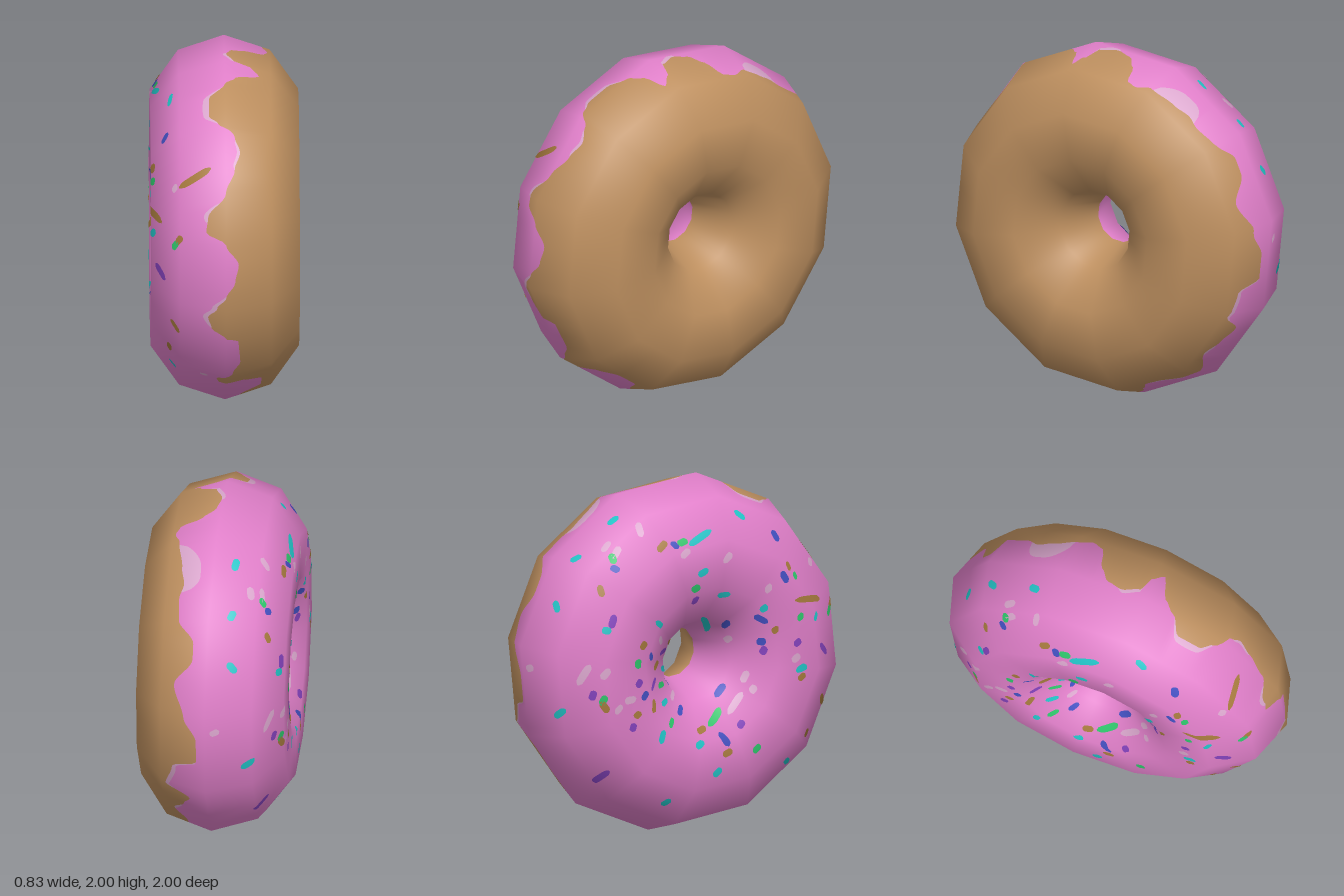
import * as THREE from 'three';

const RING = 0.5785, TUBE = 0.4335;      // ring and tube radius
const SIDES = 12, TWIST = 21;            // facets round the ring, first corner in degrees

const mat = (name, color, side = THREE.DoubleSide) => {
  const m = new THREE.MeshStandardMaterial({ color, side });
  m.name = name;
  return m;
};

// Corner of the faceted ring (u round the ring, v round the tube, v = 0 outermost)
function corner(u, v) {
  const p = THREE.MathUtils.degToRad(TWIST + u * 360 / SIDES), q = v * Math.PI / 5;
  const n = new THREE.Vector3(Math.sin(q), Math.cos(q) * Math.sin(p), Math.cos(q) * Math.cos(p));
  const pos = n.clone().multiplyScalar(TUBE);
  pos.y += 1 + RING * Math.sin(p);
  pos.z += RING * Math.cos(p);
  return { pos, n };
}

// Point and smooth normal anywhere on the flat facets
function surface(u, v, lift = 0) {
  const i = Math.floor(u), j = Math.floor(v), s = u - i, t = v - j;
  const c = [corner(i, j), corner(i + 1, j), corner(i, j + 1), corner(i + 1, j + 1)];
  const mix = k => c[0][k].clone().lerp(c[1][k], s).lerp(c[2][k].clone().lerp(c[3][k], s), t);
  const n = mix('n').normalize();
  return { pos: mix('pos').addScaledVector(n, lift), n, uv: [u, v] };
}

// Collects grids of surface points into one geometry
class Sheet {
  constructor() { this.pos = []; this.nor = []; this.uv = []; this.idx = []; }
  grid(rows) {
    const base = this.pos.length / 3, w = rows[0].length;
    rows.forEach(row => row.forEach(p => {
      this.pos.push(...p.pos.toArray());
      this.nor.push(...p.n.toArray());
      this.uv.push(...p.uv);
    }));
    for (let i = 0; i < rows.length - 1; i++) for (let j = 0; j < w - 1; j++) {
      const a = base + i * w + j, b = a + 1, c = a + w, d = c + 1;
      this.idx.push(a, b, d, a, d, c);
    }
  }
  mesh(name, material) {
    const g = new THREE.BufferGeometry();
    g.setAttribute('position', new THREE.Float32BufferAttribute(this.pos, 3));
    g.setAttribute('normal', new THREE.Float32BufferAttribute(this.nor, 3));
    g.setAttribute('uv', new THREE.Float32BufferAttribute(this.uv, 2));
    g.setIndex(this.idx);
    const m = new THREE.Mesh(g, material);
    m.name = name;
    return m;
  }
}

// Wavy lower edge of the icing: [degrees, x]
const EDGE = [
  [-69, 0.08], [-63, 0.2], [-55, 0.2], [-50, 0.1], [-48, -0.04], [-44, -0.05], [-38, 0.04], [-34, 0.08],
  [-24, 0.07], [-21.6, 0], [-18, -0.08], [-13, -0.1], [-8.5, -0.05], [-4.6, 0], [0, 0.05], [6, 0.07],
  [13, 0], [17, -0.11], [22, -0.1], [30, 0], [38, 0.05], [44, 0.08], [49, 0.05], [54, -0.04],
  [58, -0.09], [66, -0.09], [71, 0], [75, 0.06], [78, 0.19], [82, 0.14], [84, 0.05], [90, 0.01],
  [95, 0.03], [99, 0.1], [102, 0.22], [106, 0.24], [111, 0.21], [121, 0.18], [127, 0.16], [132, 0.18],
  [140, 0.17], [148, 0.08], [153, 0.08], [162, 0.18], [173, 0.12], [182, 0.05], [190, 0.05], [194, 0.19],
  [203, 0.23], [210, 0.1], [216, 0.14], [222, 0.2], [230, 0.13], [240, 0.1], [246, 0.2], [250, 0.21],
  [256, 0.12], [259, 0.05], [264, 0.05], [270, -0.03], [285, 0], [291, 0.08],
];
// Pale patches along the edge: [from, to, width]
const RIM = [[-18, -4, 0.12], [20, 27, 0.1], [38, 48, 0.07], [54, 70, 0.14], [83, 91, 0.1],
  [112, 130, 0.42], [190, 206, 0.1], [218, 223, 0.08], [239, 249, 0.1]];

const rowOf = x => {
  const q = TUBE * Math.sin(Math.PI / 5);
  return Math.abs(x) < q ? x / q : Math.sign(x) * (1 + (Math.abs(x) - q) / 0.157);
};
function edgeAt(deg) {
  const k = Math.max(1, EDGE.findIndex(e => e[0] >= deg));
  const [a, xa] = EDGE[k - 1], [b, xb] = EDGE[k];
  return rowOf(THREE.MathUtils.lerp(xa, xb, THREE.MathUtils.smoothstep(deg, a, b)));
}
function rimAt(deg) {
  const r = RIM.find(([a, b]) => deg > a && deg < b);
  return r ? r[2] * Math.sqrt(Math.sin(Math.PI * (deg - r[0]) / (r[1] - r[0]))) : 0;
}

// One full turn of skin between two edges, keeping the facet corners
function skin(lower, upper) {
  const sheet = new Sheet(), rows = [];
  for (let d = -69; d <= 291; d++) {
    const lo = lower(d), hi = upper(d), vs = [lo];
    for (let k = -4; k <= 4; k++) vs.push(THREE.MathUtils.clamp(k, lo, hi));
    vs.push(hi);
    rows.push(vs.map(v => surface((d - TWIST) * SIDES / 360, v)));
  }
  sheet.grid(rows);
  return sheet;
}

// Thin sprinkle lying on the icing, from its (u, v) middle towards a point halfway to its tip
function sprinkle(sheet, mid, toTip, width) {
  const mu = (RING + TUBE * Math.cos(mid.y * Math.PI / 5)) * Math.PI / 6, mv = TUBE * Math.PI / 5;
  let du = toTip.x - mid.x;
  du -= SIDES * Math.round(du / SIDES);
  const dir = new THREE.Vector2(du * mu, (toTip.y - mid.y) * mv);
  const half = THREE.MathUtils.clamp(dir.length() * 2, 0.02, 0.11);
  dir.normalize();
  const rows = [];
  for (let i = 0; i <= 8; i++) {
    const s = i / 4 - 1, h = width / 2 * Math.sqrt(1.05 - s ** 4);
    rows.push([-h, 0, h].map(w => surface(
      mid.x + (s * half * dir.x - w * dir.y) / mu, mid.y + (s * half * dir.y + w * dir.x) / mv, 0.004)));
  }
  sheet.grid(rows);
}

// Sprinkles strewn on a plane and dropped onto the icing: [across, up, length, degrees]
const FRONT = {
  gold: [[-17, 54, 21, 33], [-26, 22, 6, 60], [-28, -32, 8, -55], [-31, -49, 4, 80], [-40, 50, 5, 80]],
  pale: [[-28, 47, 5, 60], [-12, -65, 4, 0]],
  green: [[-28, 18, 6, 60], [-40, 44, 4, 80]],
  purple: [[-36, -1, 9, -55]],
  teal: [[-29, -64, 5, -40], [-40, 19, 5, 60]],
};
const SIDE = {
  teal: [[-31, 102, 13, 50], [50, 100, 25, 60], [-56, 56, 12, 40], [55, 67, 11, 50], [-68, 5, 13, -60],
    [71, 135, 10, -30], [67, 53, 12, 20], [-14, -13, 9, 0], [-58, -98, 15, 25], [27, -99, 14, 80],
    [65, -117, 11, 60], [23, -156, 11, 35], [53, -96, 8, 60], [41, 27, 13, 40], [123, 4, 10, 50], [97, 50, 8, 50]],
  pale: [[0, 95, 16, -65], [-28, 72, 13, 75], [-16, 67, 14, 75], [43, 80, 12, 60], [-93, -57, 9, 15],
    [-33, -59, 24, 58], [-12, -55, 13, 60], [71, -44, 26, 72], [-3, -85, 10, 60], [5, -73, 9, 30],
    [76, -16, 13, 70], [119, 12, 10, 60], [72, 88, 11, 60], [59, 17, 10, 40], [85, -27, 9, 60], [100, 70, 9, 60]],
  green: [[-18, 60, 11, -60], [57, -63, 22, 82], [-15, -80, 11, 60], [10, -37, 10, 80], [122, 52, 8, 60],
    [38, 91, 9, 50], [92, -84, 10, 60], [50, 50, 9, 50]],
  blue: [[-14, 50, 9, -20], [93, 40, 12, -20], [55, -34, 16, 70], [70, -84, 12, -60], [98, 124, 12, -55],
    [91, 20, 9, 0], [15, -65, 10, 70], [60, 30, 10, 40], [33, 86, 9, -40], [111, 85, 9, -60]],
  purple: [[-9, -3, 14, 80], [-25, -77, 10, 70], [-26, -148, 22, 35], [7, -98, 9, 80], [11, -55, 9, 70],
    [93, 12, 9, 60], [120, 27, 9, 60], [47, 40, 9, 50], [80, -65, 9, 70]],
  gold: [[-23, 25, 12, -70], [23, 82, 13, 65], [-14, -86, 11, -50], [14, -18, 9, 70], [72, -96, 10, 50],
    [123, -4, 9, 60], [102, -103, 9, 50], [128, 72, 12, 65], [10, -85, 8, 60], [88, -120, 9, 50],
    [105, 33, 8, 60], [50, -80, 9, 60]],
};

// Drops one list of sprinkles along the direction given by azimuth and elevation
function strew(list, icing, sheets, azimuth, elevation, step) {
  const turn = new THREE.Euler(-elevation, azimuth, 0, 'YXZ');
  const toward = new THREE.Vector3(0, 0, -1).applyEuler(turn);
  const ray = new THREE.Raycaster();
  const drop = (x, y) => {
    const from = new THREE.Vector3(x * step, y * step, 4).applyEuler(turn);
    from.y += 1;
    ray.set(from, toward);
    return ray.intersectObject(icing)[0]?.uv;
  };
  for (const [name, items] of Object.entries(list)) for (const [x, y, len, deg] of items) {
    const r = THREE.MathUtils.degToRad(deg);
    const mid = drop(x, y), toTip = drop(x + Math.cos(r) * len / 4, y + Math.sin(r) * len / 4);
    if (mid && toTip) sprinkle(sheets[name], mid, toTip, 0.041);
  }
}

export function createModel() {
  const group = new THREE.Group();
  group.name = 'doughnut';
  const pale = mat('pale pink', 0xd9a6cc);

  // Dough, icing and pale rim
  const rimStart = d => edgeAt(d) - rimAt(d);
  const icing = skin(() => -5, rimStart).mesh('icing', mat('icing pink', 0xe07fc9, THREE.FrontSide));
  group.add(icing);
  group.add(skin(edgeAt, () => 5).mesh('dough', mat('dough brown', 0xbd8f5f, THREE.FrontSide)));
  group.add(skin(rimStart, edgeAt).mesh('icingRim', pale));

  // Sprinkles, gathered by colour
  const kinds = {
    teal: mat('teal', 0x22c3c6), gold: mat('toffee', 0xa67a3e), blue: mat('blue', 0x4350c0),
    green: mat('green', 0x2fc56c), purple: mat('purple', 0x8443bd), pale,
  };
  const names = Object.keys(kinds);
  const sheets = Object.fromEntries(names.map(n => [n, new Sheet()]));
  strew(FRONT, icing, sheets, 0, 0, 0.01);
  strew(SIDE, icing, sheets, THREE.MathUtils.degToRad(215), THREE.MathUtils.degToRad(25), 1 / 182);

  // A few more on the inner wall of the hole
  for (let i = 0; i < 16; i++) {
    const a = new THREE.Vector2(4 + (i * 0.618 % 1) * 3.5, -3 - i * 0.08);
    const b = a.clone().add(new THREE.Vector2(0.06 * Math.sin(i * 2), 0.07));
    sprinkle(sheets[names[i % names.length]], a, b, 0.032);
  }
  names.forEach(n => group.add(sheets[n].mesh(n + 'Sprinkles', kinds[n])));
  return group;
}
